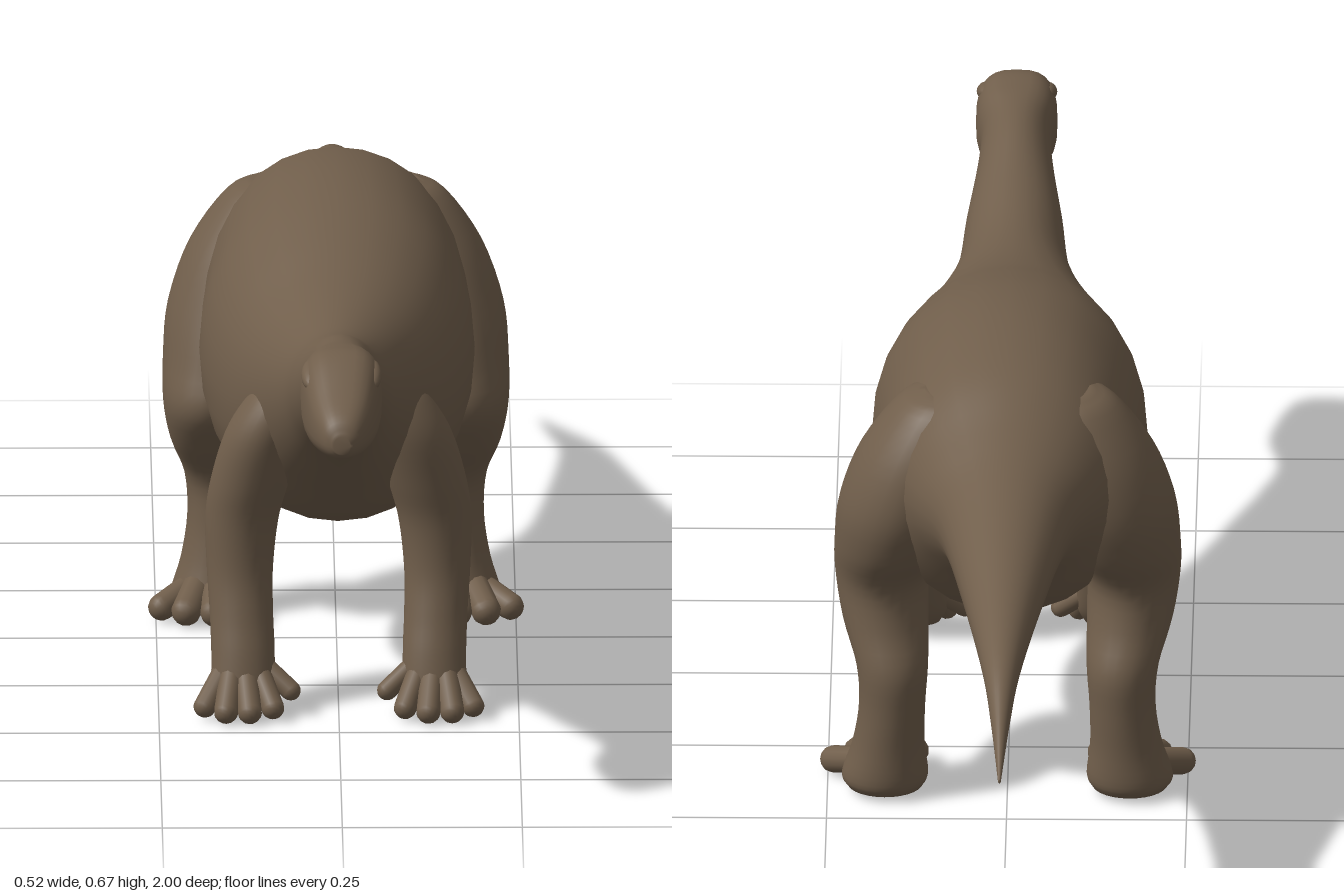
import * as THREE from 'three';

const RING = 28;

// Smoothly resample a table of rows whose first column is the row's position
function resample(rows, steps) {
  const size = rows[0].length;
  const curve = new THREE.CubicInterpolant(rows.map((r, i) => i), rows.flat(), size);
  return Array.from({ length: steps + 1 }, (_, i) =>
    Array.from(curve.evaluate((i / steps) * (rows.length - 1))));
}

// Skin a list of closed rings, with both ends capped
function loft(rings) {
  const pos = [], index = [], n = rings[0].length;
  rings.forEach(r => r.forEach(p => pos.push(...p)));
  for (let i = 0; i < rings.length - 1; i++)
    for (let j = 0; j < n; j++) {
      const a = i * n + j, b = i * n + (j + 1) % n, c = a + n, d = b + n;
      index.push(a, c, b, b, c, d);
    }
  const last = (rings.length - 1) * n;
  for (let j = 1; j < n - 1; j++) {
    index.push(0, j, j + 1);
    index.push(last, last + j + 1, last + j);
  }
  const g = new THREE.BufferGeometry();
  g.setAttribute('position', new THREE.Float32BufferAttribute(pos, 3));
  g.setIndex(index);
  g.computeVertexNormals();
  return g;
}

function ring(point) {
  return Array.from({ length: RING }, (_, j) => {
    const a = (j / RING) * Math.PI * 2;
    return point(Math.cos(a), Math.sin(a));
  });
}

const soften = (v, e) => Math.sign(v) * Math.pow(Math.abs(v), e);

// Snout to tail tip: z, top, bottom, half width, squareness (1 = ellipse)
const TRUNK = [
  [1.0, 0.565, 0.54, 0.012, 0.9], [0.985, 0.588, 0.53, 0.028, 0.85],
  [0.94, 0.613, 0.521, 0.043, 0.75], [0.87, 0.648, 0.511, 0.055, 0.7],
  [0.82, 0.648, 0.518, 0.056, 0.75], [0.77, 0.641, 0.518, 0.049, 0.9],
  [0.7, 0.631, 0.487, 0.054, 1], [0.6, 0.605, 0.44, 0.068, 1],
  [0.5, 0.585, 0.39, 0.08, 1], [0.4, 0.587, 0.325, 0.112, 0.98],
  [0.3, 0.606, 0.258, 0.15, 0.95], [0.2, 0.637, 0.228, 0.178, 0.95],
  [0.1, 0.663, 0.22, 0.191, 0.95], [0, 0.675, 0.226, 0.187, 0.95],
  [-0.1, 0.672, 0.252, 0.18, 0.95], [-0.2, 0.655, 0.305, 0.165, 0.97],
  [-0.3, 0.616, 0.38, 0.128, 1], [-0.4, 0.585, 0.42, 0.09, 1],
  [-0.6, 0.54, 0.435, 0.055, 1], [-0.8, 0.495, 0.44, 0.026, 1],
  [-0.9, 0.451, 0.415, 0.013, 1], [-1.0, 0.392, 0.386, 0.002, 1],
];

// Leg rings from the top down: y, centre x, centre z, radius x, radius z
const HIND_LEG = [
  [0.62, 0.085, -0.165, 0.03, 0.04], [0.6, 0.092, -0.165, 0.062, 0.072],
  [0.53, 0.12, -0.16, 0.084, 0.102], [0.45, 0.145, -0.148, 0.088, 0.114],
  [0.38, 0.162, -0.125, 0.078, 0.11], [0.32, 0.174, -0.1, 0.066, 0.095],
  [0.26, 0.17, -0.122, 0.06, 0.075], [0.2, 0.16, -0.158, 0.05, 0.057],
  [0.14, 0.16, -0.159, 0.046, 0.053], [0.08, 0.165, -0.153, 0.05, 0.054],
  [0.03, 0.17, -0.147, 0.06, 0.058], [0.012, 0.17, -0.147, 0.052, 0.05],
];
const FRONT_LEG = [
  [0.48, 0.07, 0.37, 0.025, 0.03], [0.45, 0.082, 0.368, 0.045, 0.05],
  [0.4, 0.104, 0.362, 0.053, 0.06], [0.33, 0.122, 0.347, 0.055, 0.06],
  [0.27, 0.134, 0.338, 0.051, 0.055], [0.2, 0.137, 0.345, 0.046, 0.046],
  [0.14, 0.135, 0.362, 0.044, 0.041], [0.09, 0.133, 0.379, 0.044, 0.038],
  [0.045, 0.133, 0.393, 0.043, 0.033], [0.02, 0.133, 0.4, 0.032, 0.022],
];

// Toes: root x, y, z, tip x, y, z, radius
const HIND_TOES = [
  [0.14, 0.045, -0.12, 0.13, 0.024, -0.062, 0.02],
  [0.165, 0.05, -0.12, 0.168, 0.024, -0.06, 0.021],
  [0.19, 0.048, -0.125, 0.208, 0.024, -0.066, 0.021],
  [0.2, 0.042, -0.135, 0.242, 0.023, -0.09, 0.019],
];
const FRONT_TOES = [
  [0.105, 0.07, 0.385, 0.067, 0.038, 0.405, 0.014],
  [0.112, 0.065, 0.395, 0.092, 0.022, 0.438, 0.016],
  [0.13, 0.065, 0.398, 0.124, 0.02, 0.452, 0.017],
  [0.148, 0.065, 0.398, 0.157, 0.02, 0.45, 0.017],
  [0.158, 0.065, 0.39, 0.186, 0.022, 0.428, 0.016],
];

export function createModel() {
  const model = new THREE.Group();
  const hide = new THREE.MeshStandardMaterial({ color: 0x705e4b });
  hide.name = 'brown hide';

  const add = (parent, name, geometry) => {
    const mesh = new THREE.Mesh(geometry, hide);
    mesh.name = name;
    parent.add(mesh);
    return mesh;
  };

  // Head, neck, body and tail in one skin
  add(model, 'trunk', loft(resample(TRUNK, 105).map(([z, top, bottom, w, e]) =>
    ring((c, s) => [w * soften(c, e), (top + bottom) / 2 + (top - bottom) / 2 * soften(s, e), z]))));

  const addLeg = (name, rows, toes, side) => {
    const leg = new THREE.Group();
    leg.name = name;
    model.add(leg);
    add(leg, 'limb', loft(resample(rows, 44).map(([y, x, z, rx, rz]) =>
      ring((c, s) => [side * x + rx * c, y, z - rz * s]))));
    // Rounded toes fanning out from the foot
    toes.forEach(([ax, ay, az, bx, by, bz, r]) => {
      const a = new THREE.Vector3(side * ax, ay, az), b = new THREE.Vector3(side * bx, by, bz);
      const toe = add(leg, 'toe', new THREE.CapsuleGeometry(r, a.distanceTo(b), 6, 12));
      toe.position.copy(a).lerp(b, 0.5);
      toe.quaternion.setFromUnitVectors(new THREE.Vector3(0, 1, 0), b.sub(a).normalize());
    });
  };

  for (const side of [1, -1]) {
    const label = side > 0 ? 'left' : 'right';
    addLeg(label + 'HindLeg', HIND_LEG, HIND_TOES, side);
    addLeg(label + 'FrontLeg', FRONT_LEG, FRONT_TOES, side);

    // Brow ridge over the eye
    const brow = add(model, label + 'Brow', new THREE.SphereGeometry(1, 16, 12));
    brow.scale.set(0.014, 0.013, 0.035);
    brow.position.set(side * 0.042, 0.618, 0.865);
    brow.rotation.x = 0.3;
  }
  return model;
}
